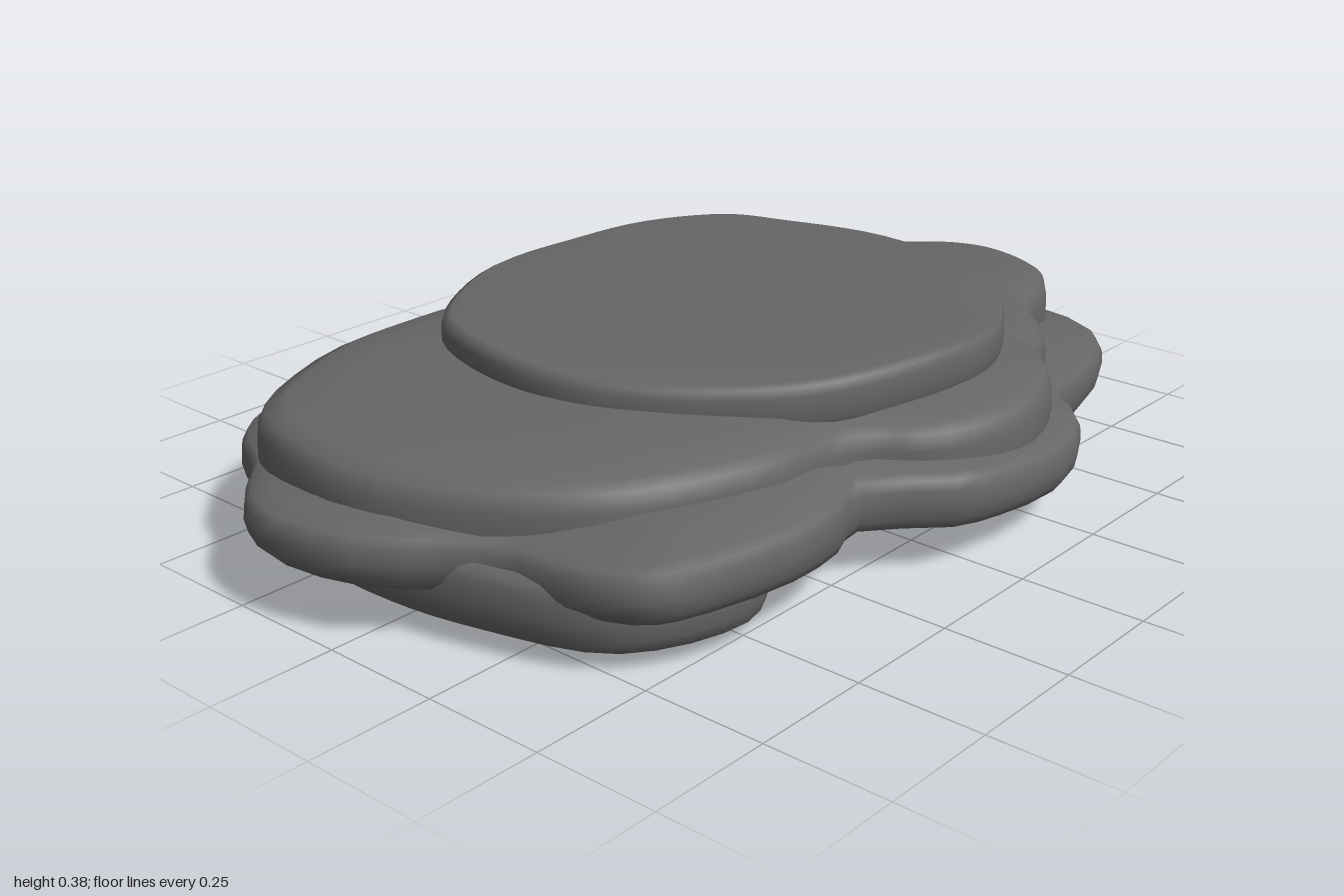
import * as THREE from 'three';

const material = new THREE.MeshStandardMaterial({ color: 0x666666, side: THREE.DoubleSide });
const SEGMENTS = 72;

// Rounded rock layer: an outline of x, z pairs, lofted from its underside to its top.
// belly and dome push the middle of the underside down and of the top up.
function slab(name, outline, bottom, top, { tiltX = 0, tiltZ = 0, belly = 0, dome = 0, round = 0.035, phase = 0 } = {}) {
  const points = [];
  for (let i = 0; i < outline.length; i += 2) points.push(new THREE.Vector3(outline[i], 0, outline[i + 1]));
  const rim = new THREE.CatmullRomCurve3(points, true, 'centripetal').getPoints(SEGMENTS).slice(0, SEGMENTS);
  const centre = new THREE.Box3().setFromPoints(rim).getCenter(new THREE.Vector3());

  // [share of the outline, height] from underside to top
  const at = (share) => bottom + (top - bottom) * share;
  const rings = [
    [0, bottom - belly], [0.5, bottom - belly], [0.8, bottom - belly * 0.8], [1 - round * 1.6, bottom],
    [1 - round * 0.8, at(0.06)], [1 - round * 0.2, at(0.25)], [1, at(0.5)], [1 - round * 0.1, at(0.76)],
    [1 - round * 0.5, at(0.93)], [1 - round * 1.5, top], [0.8, top + dome * 0.7], [0.5, top + dome], [0, top + dome],
  ];
  const positions = [];
  const indices = [];
  rings.forEach(([scale, y], r) => {
    rim.forEach((p, s) => {
      const x = centre.x + (p.x - centre.x) * scale;
      const z = centre.z + (p.z - centre.z) * scale;
      const wave = 0.005 * Math.sin(5 * x + 4 * z + phase) + 0.003 * Math.sin(11 * x - 8 * z + phase);
      positions.push(x, y + tiltX * x + tiltZ * z + wave, z);
      if (r === 0) return;
      const n = (s + 1) % SEGMENTS;
      const a = (r - 1) * SEGMENTS + s, b = (r - 1) * SEGMENTS + n;
      const c = r * SEGMENTS + s, d = r * SEGMENTS + n;
      // The first and last rings are single points
      if (r > 1) indices.push(b, a, c);
      if (r < rings.length - 1) indices.push(d, b, c);
    });
  });
  const geometry = new THREE.BufferGeometry();
  geometry.setAttribute('position', new THREE.Float32BufferAttribute(positions, 3));
  geometry.setIndex(indices);
  geometry.computeVertexNormals();
  const mesh = new THREE.Mesh(geometry, material);
  mesh.name = name;
  return mesh;
}

export function createModel() {
  const rock = new THREE.Group();
  rock.name = 'layeredRock';

  // Underside plate, set back at the front
  rock.add(slab('basePlate', [
    -0.88, 0, -0.85, -0.25, -0.7, -0.45, -0.4, -0.55, 0, -0.6, 0.4, -0.64, 0.67, -0.57,
    0.78, -0.42, 0.84, -0.25, 0.78, -0.02, 0.6, 0.17, 0.36, 0.28, 0.05, 0.33, -0.22, 0.34,
    -0.32, 0.42, -0.52, 0.53, -0.75, 0.44, -0.85, 0.2,
  ], 0.018, 0.15, { tiltX: -0.012, tiltZ: 0.014, round: 0.025 }));

  // Widest layer with lobes all round
  rock.add(slab('wideLayer', [
    -1, -0.15, -0.96, -0.28, -0.85, -0.4, -0.8, -0.5, -0.7, -0.6, -0.54, -0.65, -0.28, -0.62,
    -0.22, -0.59, 0, -0.68, 0.1, -0.7, 0.3, -0.69, 0.41, -0.64, 0.57, -0.61, 0.69, -0.57,
    0.76, -0.45, 0.87, -0.3, 0.89, -0.17, 0.95, 0.05, 0.95, 0.2, 0.85, 0.4, 0.7, 0.48,
    0.46, 0.54, 0.4, 0.62, 0.25, 0.69, 0.05, 0.69, -0.07, 0.66, -0.22, 0.54, -0.32, 0.57,
    -0.48, 0.58, -0.68, 0.54, -0.75, 0.5, -0.8, 0.38, -0.82, 0.2, -0.96, 0.04,
  ], 0.075, 0.185, { tiltX: -0.025, tiltZ: 0.02, belly: 0.035, dome: 0.05, phase: 1 }));

  // Lobe that juts out on the model's left and slopes up towards the cap
  rock.add(slab('sideLobe', [
    0.2, -0.36, 0.58, -0.34, 0.75, -0.26, 0.89, -0.18, 1, -0.02, 0.96, 0.16, 0.83, 0.27,
    0.66, 0.34, 0.52, 0.46, 0.3, 0.5,
  ], 0.13, 0.3, { tiltX: -0.045, dome: 0.025, phase: 2, round: 0.05 }));

  // Upper layer that carries the cap
  rock.add(slab('upperLayer', [
    -0.9, -0.2, -0.84, -0.39, -0.6, -0.52, -0.3, -0.55, -0.2, -0.54, 0.1, -0.63, 0.35, -0.6,
    0.5, -0.47, 0.57, -0.3, 0.63, 0, 0.58, 0.28, 0.45, 0.48, 0.32, 0.6, 0.14, 0.65, -0.05, 0.6,
    -0.18, 0.49, -0.4, 0.47, -0.65, 0.36, -0.8, 0.18, -0.89, -0.02,
  ], 0.12, 0.3, { tiltX: 0.005, tiltZ: -0.03, dome: 0.025, round: 0.045, phase: 3 }));

  // Back corner shelf, a little lower than the upper layer
  rock.add(slab('backShelf', [
    0.2, -0.56, 0.45, -0.6, 0.6, -0.52, 0.74, -0.38, 0.83, -0.22, 0.6, 0, 0.2, -0.1,
  ], 0.1, 0.23, { dome: 0.04, phase: 4, round: 0.06 }));

  // Flat cap
  rock.add(slab('cap', [
    -0.5, -0.1, -0.43, -0.33, -0.22, -0.48, 0.08, -0.54, 0.33, -0.52, 0.5, -0.4, 0.55, -0.25,
    0.6, 0, 0.53, 0.3, 0.4, 0.43, 0.18, 0.53, -0.15, 0.46, -0.35, 0.3, -0.48, 0.1,
  ], 0.27, 0.372, { dome: 0.004, phase: 5, round: 0.025 }));

  return rock;
}
